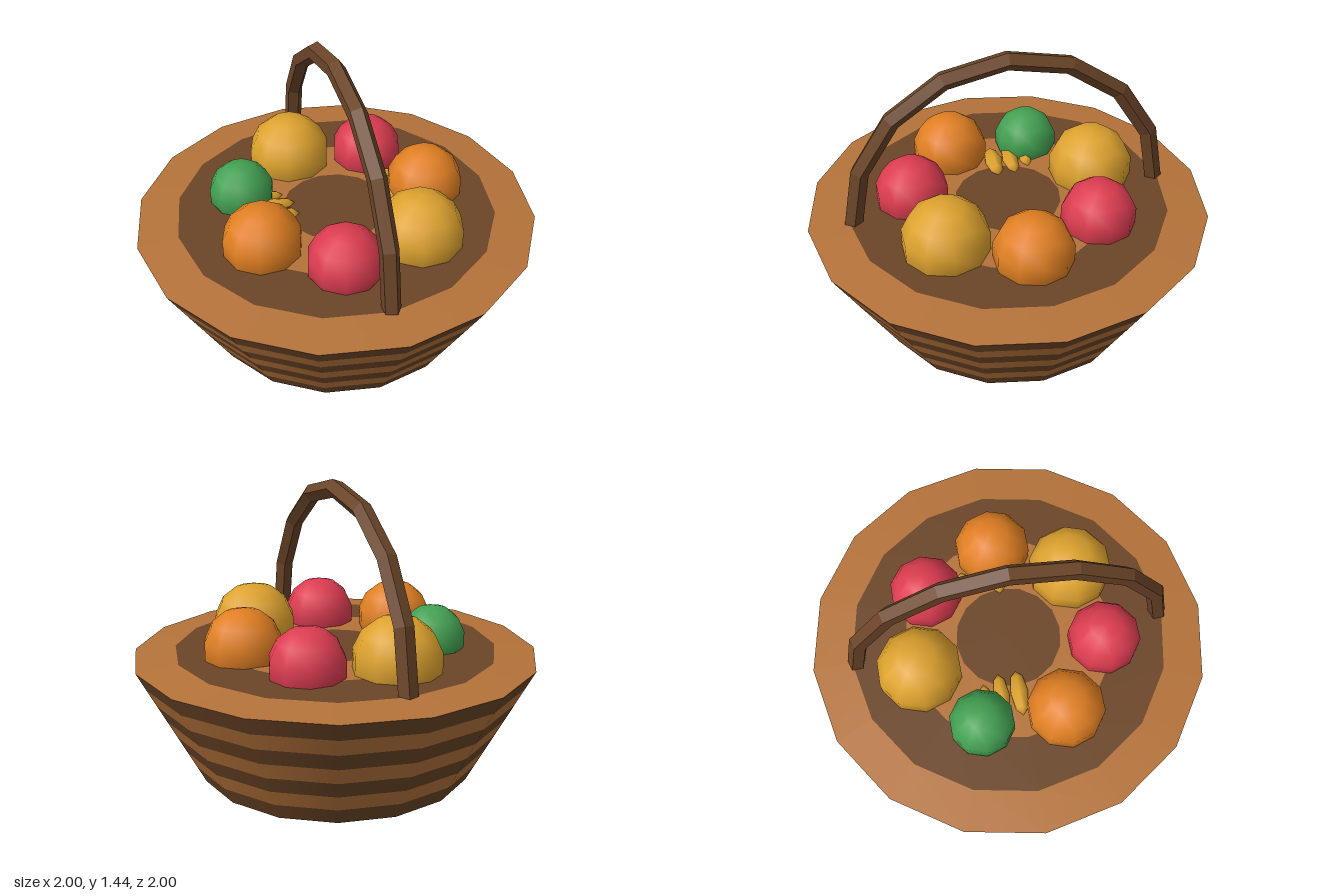
import * as THREE from 'three';

const paint = (name, color, extra = {}) => {
  const m = new THREE.MeshStandardMaterial({ color, ...extra });
  m.name = name;
  return m;
};

export function createModel() {
  const basket = new THREE.Group();
  basket.name = 'fruitBasket';

  const light = paint('lightWicker', 0xb5733a);
  const dark = paint('darkWicker', 0x6b4526);
  const handleWood = paint('handleWood', 0x6b4528, { flatShading: true });
  const red = paint('redFruit', 0xdc3c50);
  const orange = paint('orangeFruit', 0xe07f22);
  const yellow = paint('yellowFruit', 0xdda22e);
  const green = paint('greenFruit', 0x43a052);

  const add = (name, geometry, material, x = 0, y = 0, z = 0) => {
    const mesh = new THREE.Mesh(geometry, material);
    mesh.name = name;
    mesh.position.set(x, y, z);
    basket.add(mesh);
    return mesh;
  };

  const SIDES = 16, RIM_Y = 0.6, TOP_Y = 0.617;

  // Flared wall of alternating woven bands
  const BANDS = 7, h = RIM_Y / BANDS;
  const wallRadius = (t) => 0.69 + 0.31 * t;
  for (let i = 0; i < BANDS; i++) {
    add('wallBand', new THREE.CylinderGeometry(
      wallRadius((i + 1) / BANDS), wallRadius(i / BANDS), h, SIDES, 1, true),
    i % 2 ? light : dark, 0, (i + 0.5) * h, 0);
  }

  // Base
  add('base', new THREE.CircleGeometry(0.69, SIDES).rotateX(Math.PI / 2), dark);

  // Rim and the concentric woven rings of the filling
  const ring = (name, inner, innerY, outer, outerY, material) => add(name,
    new THREE.LatheGeometry([
      new THREE.Vector2(outer, outerY), new THREE.Vector2(inner, innerY),
    ], SIDES), material);
  ring('rim', 0.8, TOP_Y, 1, RIM_Y, light);
  ring('outerWeave', 0.533, TOP_Y, 0.8, TOP_Y, dark);
  ring('middleWeave', 0.267, TOP_Y, 0.533, TOP_Y, light);
  ring('centreWeave', 0, TOP_Y, 0.267, TOP_Y, dark);

  // Arched handle running front to back
  class Arch extends THREE.Curve {
    getPoint(t, target = new THREE.Vector3()) {
      const a = Math.PI * t;
      return target.set(0, RIM_Y + 0.8 * Math.sin(a), 0.78 * Math.cos(a));
    }
  }
  add('handle', new THREE.TubeGeometry(new Arch(), 8, 0.047, 5, false), handleWood);

  // Seven round fruits spaced evenly in a ring
  const fruits = [
    [orange, 0.19], [yellow, 0.21], [red, 0.18], [orange, 0.19],
    [green, 0.16], [yellow, 0.21], [red, 0.18],
  ];
  fruits.forEach(([material, r], i) => {
    const a = (i / fruits.length) * Math.PI * 2;
    add('roundFruit', new THREE.SphereGeometry(r / 0.97, 10, 7), material,
      0.48 * Math.cos(a), 0.665, 0.48 * Math.sin(a));
  });

  // Pointed tips of the long fruits poking out of the filling
  const tips = [
    [-0.305, 0, 0.115, 0.05], [-0.305, -0.09, 0.115, 0.045], [-0.34, -0.17, 0.11, 0.04],
    [0.335, 0, 0.095, 0.045], [0.345, -0.09, 0.085, 0.04], [0.335, -0.18, 0.055, 0.03],
  ];
  for (const [x, z, length, width] of tips) {
    const geometry = new THREE.SphereGeometry(1, 6, 4).rotateZ(Math.PI / 2);
    geometry.scale(length, width, width);
    add('longFruitTip', geometry, yellow, x, TOP_Y, z);
  }

  return basket;
}
